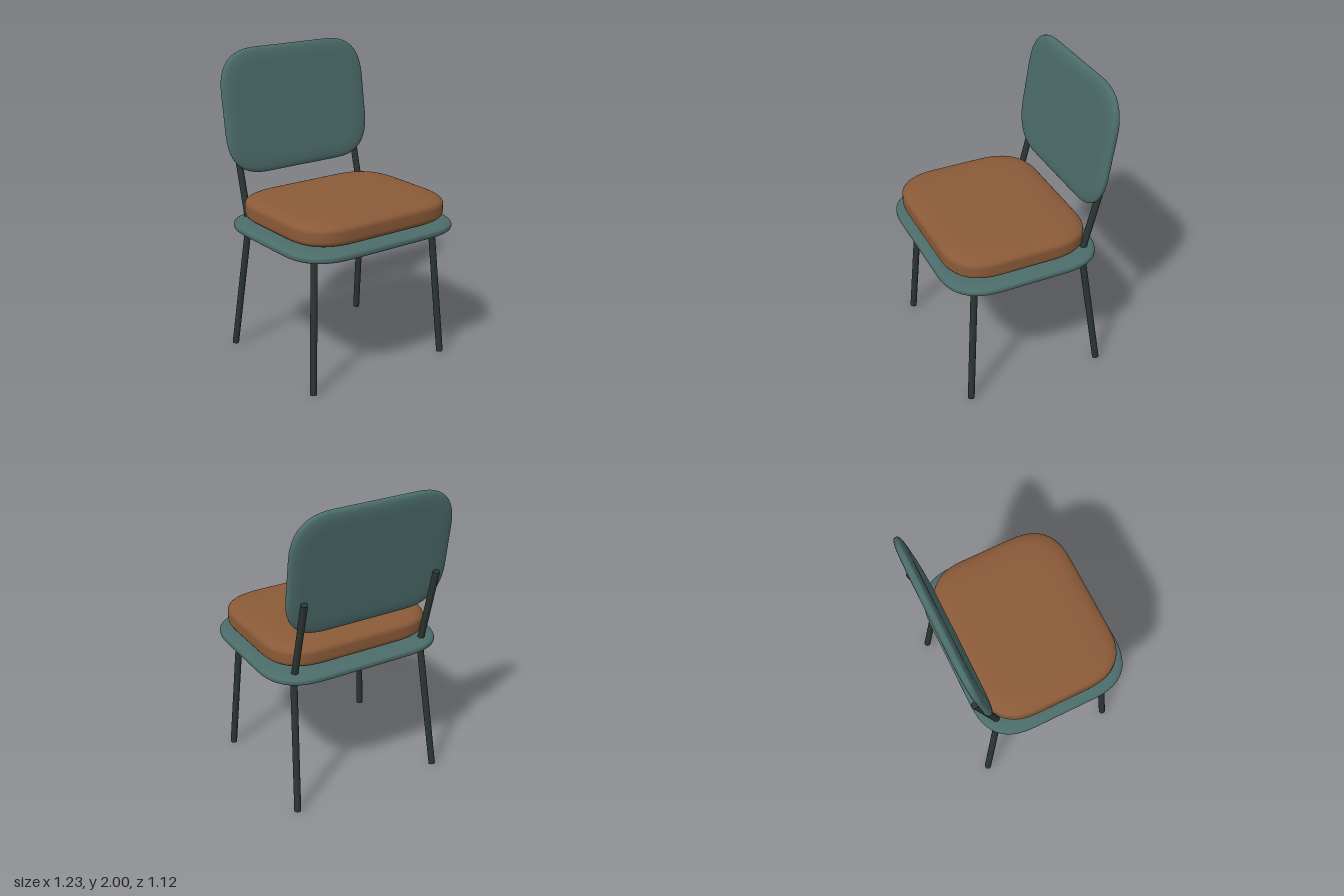
import * as THREE from 'three';

// Rounded rectangle in the xz plane, with soft quadratic corners of reach r
function outline(hx, hz, r, steps = 12) {
  const pts = [];
  const corners = [[1, 1], [-1, 1], [-1, -1], [1, -1]];
  corners.forEach(([sx, sz], i) => {
    const alongX = new THREE.Vector2(sx * (hx - r), sz * hz);
    const alongZ = new THREE.Vector2(sx * hx, sz * (hz - r));
    const corner = new THREE.Vector2(sx * hx, sz * hz);
    const [a, b] = i % 2 === 0 ? [alongZ, alongX] : [alongX, alongZ];
    pts.push(...new THREE.QuadraticBezierCurve(a, corner, b).getPoints(steps));
  });
  return pts;
}

// Soft slab: stacked outlines whose edge rolls over by `roll` sideways and `drop` vertically
function softSlab(hx, hy, hz, r, roll, drop) {
  const edge = new THREE.QuadraticBezierCurve(
    new THREE.Vector2(0, hy - drop), new THREE.Vector2(0, hy), new THREE.Vector2(roll, hy)
  ).getPoints(10);
  const profile = [...edge.map(p => [p.x, -p.y]).reverse(), ...edge.map(p => [p.x, p.y])];
  const pos = [], idx = [];
  let n = 0;
  for (const [inset, y] of profile) {
    const ring = outline(hx - inset, hz - inset, r - inset * 0.5);
    n = ring.length;
    for (const p of ring) pos.push(p.x, y, p.y);
  }
  for (let j = 0; j < profile.length - 1; j++) {
    for (let i = 0; i < n; i++) {
      const a = j * n + i, b = j * n + (i + 1) % n;
      idx.push(a, a + n, b, b, a + n, b + n);
    }
  }
  // Close bottom and top with fans
  const bottom = pos.length / 3, top = bottom + 1, last = (profile.length - 1) * n;
  pos.push(0, -hy, 0, 0, hy, 0);
  for (let i = 0; i < n; i++) {
    const k = (i + 1) % n;
    idx.push(bottom, i, k, top, last + k, last + i);
  }
  const geo = new THREE.BufferGeometry();
  geo.setAttribute('position', new THREE.Float32BufferAttribute(pos, 3));
  geo.setIndex(idx);
  geo.computeVertexNormals();
  return geo;
}

// Round bar between two points
function bar(name, from, to, radius, material) {
  const a = new THREE.Vector3(...from), b = new THREE.Vector3(...to);
  const dir = b.clone().sub(a);
  const mesh = new THREE.Mesh(new THREE.CylinderGeometry(radius, radius, dir.length(), 16), material);
  mesh.position.copy(a).add(b).multiplyScalar(0.5);
  mesh.quaternion.setFromUnitVectors(new THREE.Vector3(0, 1, 0), dir.normalize());
  mesh.name = name;
  return mesh;
}

export function createModel() {
  const teal = new THREE.MeshStandardMaterial({ name: 'teal', color: 0x4b6c6a });
  const leather = new THREE.MeshStandardMaterial({ name: 'brown leather', color: 0x8a5a38 });
  const metal = new THREE.MeshStandardMaterial({ name: 'dark metal', color: 0x2b3533 });
  const chair = new THREE.Group();
  chair.name = 'chair';

  const add = (name, geo, material, x, y, z) => {
    const mesh = new THREE.Mesh(geo, material);
    mesh.name = name;
    mesh.position.set(x, y, z);
    chair.add(mesh);
    return mesh;
  };

  // Seat plate and cushion
  add('seatPlate', softSlab(0.616, 0.0325, 0.52, 0.3, 0.08, 0.028), teal, 0, 0.903, 0.04);
  add('seatCushion', softSlab(0.565, 0.0875, 0.47, 0.29, 0.19, 0.062), leather, 0, 1.0225, 0.055);

  // Backrest, stood upright and leaning back
  const back = add('backrest', softSlab(0.554, 0.032, 0.405, 0.27, 0.1, 0.028), teal, 0, 1.598, -0.475);
  back.rotation.x = Math.PI / 2 - 0.15;

  // Splayed legs and backrest posts
  for (const [side, s] of [['left', 1], ['right', -1]]) {
    chair.add(bar(side + 'FrontLeg', [s * 0.518, 0.002, 0.436], [s * 0.462, 0.9, 0.376], 0.022, metal));
    chair.add(bar(side + 'BackLeg', [s * 0.518, 0.004, -0.486], [s * 0.462, 0.9, -0.36], 0.022, metal));
    chair.add(bar(side + 'BackPost', [s * 0.462, 0.9, -0.366], [s * 0.462, 1.442, -0.504], 0.022, metal));
  }
  return chair;
}
